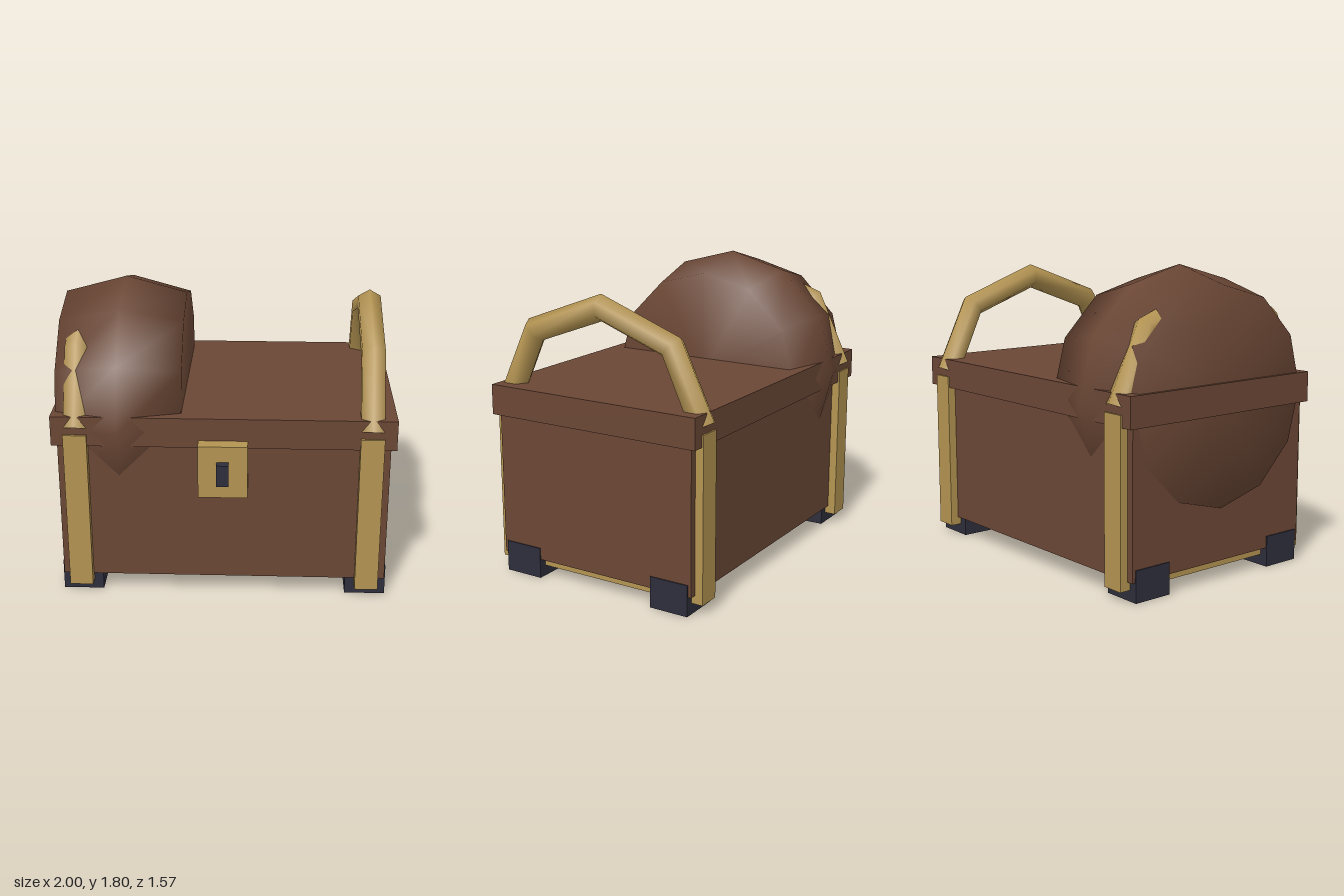
import * as THREE from 'three';
import { mergeVertices } from 'three/addons/utils/BufferGeometryUtils.js';

const material = (name, color) => {
  const m = new THREE.MeshStandardMaterial({ color });
  m.name = name;
  return m;
};

// Half-ellipse handle with a hexagonal section, bent from a half torus
function handleGeometry() {
  const geo = new THREE.TorusGeometry(0.6, 0.08, 6, 4, Math.PI);
  const { position, uv } = geo.attributes;
  const rz = 0.657, ry = 0.5825, tube = 0.0775;
  for (let i = 0; i < position.count; i++) {
    const a = uv.getX(i) * Math.PI, b = uv.getY(i) * Math.PI * 2;
    let n = Math.atan2(Math.sin(a) / ry, Math.cos(a) / rz);
    if (uv.getX(i) === 0) n = 0.42; // ends lean outwards
    if (uv.getX(i) === 1) n = Math.PI - 0.42;
    const r = tube * Math.cos(b);
    position.setXYZ(i,
      rz * Math.cos(a) + r * Math.cos(n),
      ry * Math.sin(a) + r * Math.sin(n),
      tube * Math.sin(b));
  }
  geo.rotateY(-Math.PI / 2); // arch runs along z
  geo.deleteAttribute('normal');
  geo.deleteAttribute('uv');
  const merged = mergeVertices(geo, 1e-4);
  merged.computeVertexNormals();
  return merged;
}

export function createModel() {
  const model = new THREE.Group();
  model.name = 'chest';
  const wood = material('brown wood', 0x6b4735);
  const brass = material('brass', 0xb49452);
  const iron = material('dark iron', 0x2e2e3c);

  const add = (name, geo, mat, x = 0, y = 0, z = 0) => {
    const mesh = new THREE.Mesh(geo, mat);
    mesh.name = name;
    mesh.position.set(x, y, z);
    model.add(mesh);
    return mesh;
  };
  // Box given by its limits on each axis
  const box = (name, mat, [x0, x1], [y0, y1], [z0, z1]) =>
    add(name, new THREE.BoxGeometry(x1 - x0, y1 - y0, z1 - z0), mat,
      (x0 + x1) / 2, (y0 + y1) / 2, (z0 + z1) / 2);

  // Body and lid
  box('body', wood, [-0.97, 0.97], [0.115, 0.98], [-0.7, 0.61]);
  box('lid', wood, [-1, 1], [0.975, 1.155], [-0.74, 0.645]);

  // Round barrel sunk into the right half
  const profile = [[0, -0.367], [0.636, -0.367], [0.735, 0], [0.636, 0.367], [0, 0.367]]
    .map(([r, h]) => new THREE.Vector2(r, h));
  const barrel = new THREE.LatheGeometry(profile, 12).rotateZ(Math.PI / 2);
  add('barrel', barrel, wood, -0.613, 1.065, -0.047);

  // Straps, handles and feet on both sides
  const handle = handleGeometry();
  for (const s of [-1, 1]) {
    const span = (a, b) => (s > 0 ? [a, b] : [-b, -a]);
    box('strap', brass, span(0.79, 0.928), [0.065, 1.045], [-0.75, 0.66]);
    add('handle', handle, brass, s * 0.858, 1.07, -0.047);
    box('frontFoot', iron, span(0.735, 0.977), [0, 0.187], [0.345, 0.59]);
    box('backFoot', iron, span(0.735, 0.977), [0, 0.187], [-0.68, -0.435]);
  }

  // Lock
  box('lockPlate', brass, [-0.143, 0.143], [0.7, 1.02], [0.58, 0.733]);
  box('lockBolt', iron, [-0.035, 0.035], [0.795, 0.925], [0.7, 0.785]);

  return model;
}
